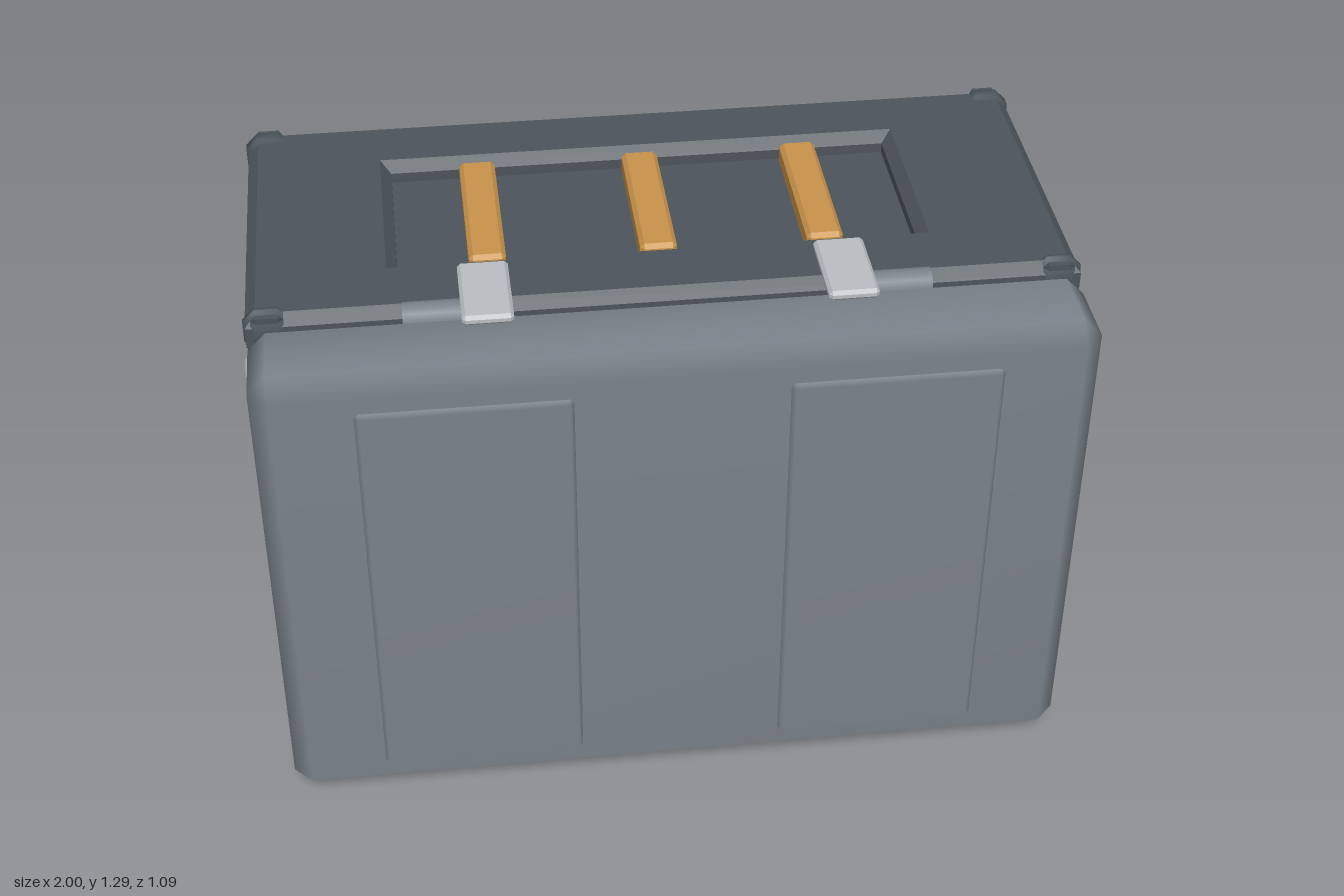
import * as THREE from 'three';
import { mergeVertices } from 'three/addons/utils/BufferGeometryUtils.js';
import { ConvexGeometry } from 'three/addons/geometries/ConvexGeometry.js';

const mat = (name, color) => {
  const m = new THREE.MeshStandardMaterial({ color });
  m.name = name;
  return m;
};

// Box from min/max ranges with chamfered edges; smooth normals give a soft pillow look.
function chamferBox([x0, x1], [y0, y1], [z0, z1], c, smooth = true) {
  const h = [(x1 - x0) / 2, (y1 - y0) / 2, (z1 - z0) / 2];
  const pts = [];
  for (const sx of [-1, 1]) for (const sy of [-1, 1]) for (const sz of [-1, 1]) {
    for (let a = 0; a < 3; a++) {
      const d = h.map((v, i) => (i === a ? v : v - c));
      pts.push(new THREE.Vector3(sx * d[0], sy * d[1], sz * d[2]));
    }
  }
  let g = new ConvexGeometry(pts);
  if (smooth) {
    g.deleteAttribute('normal');
    g = mergeVertices(g, 1e-4);
    g.computeVertexNormals();
  }
  return g.translate((x0 + x1) / 2, (y0 + y1) / 2, (z0 + z1) / 2);
}

// Wall plate with a bevelled window; its outer face lies at z = 0.
function wallPlate(w, h, holeW, holeH) {
  const b = 0.025, depth = 0.05;
  const rect = (s, x, y) => s.moveTo(-x, -y).lineTo(x, -y).lineTo(x, y).lineTo(-x, y).closePath();
  const shape = rect(new THREE.Shape(), w / 2 - b, h / 2 - b);
  shape.holes.push(rect(new THREE.Path(), holeW / 2, holeH / 2));
  return new THREE.ExtrudeGeometry(shape, {
    depth, bevelEnabled: true, bevelSize: b, bevelThickness: b, bevelSegments: 1,
  }).translate(0, 0, -depth - b);
}

export function createModel() {
  const group = new THREE.Group();
  const shell = mat('dark shell', 0x4c545b);
  const lidGrey = mat('lid grey', 0x7a818a);
  const silver = mat('handle silver', 0xc0c4cb);
  const latchGrey = mat('latch grey', 0xb9bec3);
  const amber = mat('amber', 0xc8934a);
  const teal = mat('teal', 0x1f8f8a);
  const add = (name, geo, material) => {
    const m = new THREE.Mesh(geo, material);
    m.name = name;
    group.add(m);
    return m;
  };

  const CY = 0.645, CZ = -0.125;       // centre of the body
  const HX = 0.95, HY = 0.623, D = 0.81; // half width, half height, depth

  // Body core; its faces are the floors of the recesses
  add('bodyCore', new THREE.BoxGeometry(2 * HX - 0.1, 2 * HY - 0.1, D - 0.01)
    .translate(0, CY, CZ), shell);

  // Back panel
  add('backPanel', chamferBox([-0.925, 0.925], [CY - 0.598, CY + 0.598], [-0.53, -0.4], 0.004), shell);
  add('backPlate', chamferBox([-0.9, 0.9], [0.07, 1.22], [-0.545, -0.45], 0.015), shell);

  // Corner caps
  for (const sx of [-1, 1]) for (const sy of [-1, 1]) for (const z of [[-0.535, -0.45], [0.22, 0.285]]) {
    const g = chamferBox([-0.055, 0.055], [-0.055, 0.055], z, 0.028);
    add('cornerCap', g.translate(sx * 0.9, CY + sy * 0.576, 0), shell);
  }

  // Lid with two raised panels on the front
  add('lid', chamferBox([-0.945, 0.945], [0.03, 1.262], [0.283, 0.535], 0.043), lidGrey);
  for (const s of [-1, 1]) {
    const x = s * 0.48;
    add('lidPanel', chamferBox([x - 0.24, x + 0.24], [0.115, 1.178], [0.515, 0.546], 0.01), lidGrey);
  }

  // Side walls and carrying handles
  for (const s of [-1, 1]) {
    const wall = add('sideWall', wallPlate(D, 2 * HY, 0.44, 0.7), shell);
    wall.position.set(s * HX, CY, CZ);
    wall.rotation.y = s * Math.PI / 2;

    const P = (x, y, z) => new THREE.Vector3(s * x, y, z);
    const path = new THREE.CurvePath();
    const a = [P(0.89, 0.855, -0.06), P(0.962, 0.855, -0.135), P(0.98, 0.855, -0.155), P(0.98, 0.82, -0.155)];
    const b = a.map((p) => new THREE.Vector3(p.x, 2 * CY - p.y, p.z));
    path.add(new THREE.LineCurve3(a[0], a[1]));
    path.add(new THREE.QuadraticBezierCurve3(a[1], a[2], a[3]));
    path.add(new THREE.LineCurve3(a[3], b[3]));
    path.add(new THREE.QuadraticBezierCurve3(b[3], b[2], b[1]));
    path.add(new THREE.LineCurve3(b[1], b[0]));
    add('carryHandle', new THREE.TubeGeometry(path, 60, 0.02, 12), silver);
  }

  // Top and bottom walls with recessed grip bars and latches
  for (const s of [-1, 1]) {
    const wall = add(s > 0 ? 'topWall' : 'bottomWall', wallPlate(2 * HX, D, 1.26, 0.47), shell);
    wall.position.set(0, CY + s * HY, CZ);
    wall.rotation.x = -s * Math.PI / 2;

    for (const x of [-0.397, 0, 0.39]) {
      const bar = chamferBox([x - 0.043, x + 0.043], [-0.04, 0.04], [-0.337, 0.085], 0.01, false);
      add('gripBar', bar.translate(0, CY + s * 0.58, 0), amber);
    }
    for (const x of [-0.412, 0.408]) {
      const plate = chamferBox([x - 0.058, x + 0.058], [-0.0125, 0.0125], [0.137, 0.36], 0.008, false);
      add('latchPlate', plate.translate(0, CY + s * 0.6325, 0), latchGrey);
      const base = new THREE.BoxGeometry(0.09, 0.06, 0.16);
      add('latchBase', base.translate(x, CY + s * 0.6, 0.26), latchGrey);
    }
  }

  // Hinge pins beside the top latches
  for (const s of [-1, 1]) {
    const pin = new THREE.CylinderGeometry(0.036, 0.036, 0.24, 16).rotateZ(Math.PI / 2);
    add('hingePin', pin.translate(s * 0.48, 1.237, 0.267), lidGrey);
  }

  // Light strip on the underside
  const strip = new THREE.CylinderGeometry(0.016, 0.016, 0.55, 12).rotateZ(Math.PI / 2);
  add('lightStrip', strip.translate(0, 0.02, 0.21), teal);

  return group;
}
